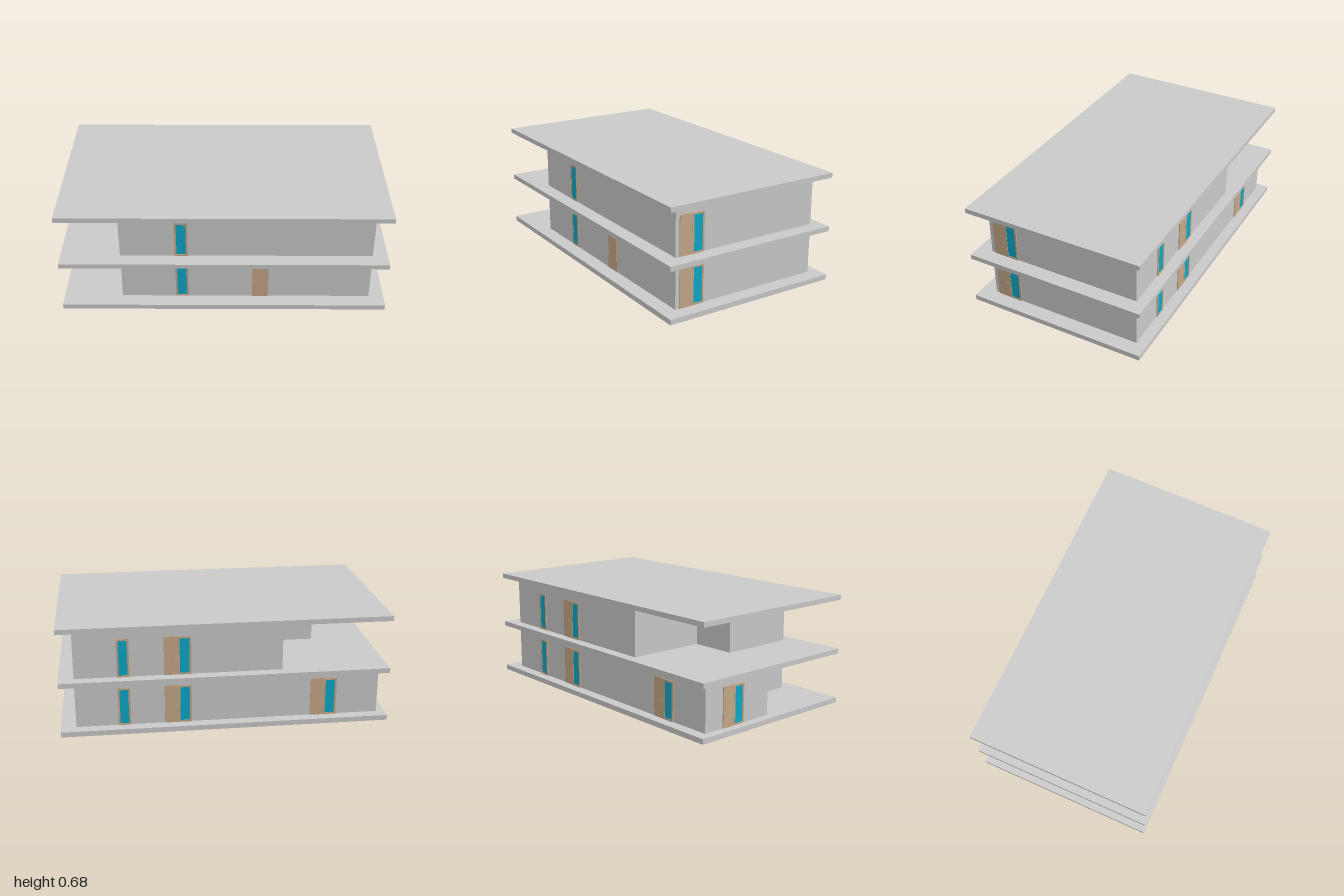
import * as THREE from 'three';

const concrete = new THREE.MeshStandardMaterial({ color: 0xc9c9c9 });
concrete.name = 'concrete grey';
const wood = new THREE.MeshStandardMaterial({ color: 0xc5a888 });
wood.name = 'light wood';
const glassBlue = new THREE.MeshStandardMaterial({ color: 0x0da8c8 });
glassBlue.name = 'blue glass';

const FRONT = 0.477, BACK = -0.503, RIGHT = -0.948, LEFT = 0.908, STEP = -0.005;

// Box centred on (x, y, z)
function box(parent, name, mat, size, pos) {
  const mesh = new THREE.Mesh(new THREE.BoxGeometry(...size), mat);
  mesh.name = name;
  mesh.position.set(...pos);
  parent.add(mesh);
  return mesh;
}

// Storey walls from a footprint of [x, z] corners
function walls(name, footprint, y0, y1) {
  const shape = new THREE.Shape(footprint.map(([x, z]) => new THREE.Vector2(x, -z)));
  const geo = new THREE.ExtrudeGeometry(shape, { depth: y1 - y0, bevelEnabled: false });
  geo.rotateX(-Math.PI / 2);
  const mesh = new THREE.Mesh(geo, concrete);
  mesh.name = name;
  mesh.position.y = y0;
  return mesh;
}

// Window: four frame bars around a set-back pane; local +z faces outwards
function makeWindow(w, h, out) {
  const g = new THREE.Group();
  g.name = 'window';
  const bar = 0.011;
  for (const s of [-1, 1]) {
    box(g, 'windowJamb', wood, [bar, h, out], [s * (w - bar) / 2, h / 2, out / 2]);
    box(g, 'windowRail', wood, [w - 2 * bar, bar, out], [0, h / 2 + s * (h - bar) / 2, out / 2]);
  }
  box(g, 'windowPane', glassBlue, [w - 2 * bar, h - 2 * bar, out * 0.5], [0, h / 2, out * 0.25]);
  return g;
}

// Door leaf with a small handle
function makeDoor(w, h, out, handleSide) {
  const g = new THREE.Group();
  g.name = 'door';
  box(g, 'doorLeaf', wood, [w, h, out], [0, h / 2, out / 2]);
  box(g, 'doorHandle', wood, [0.012, 0.005, 0.003], [handleSide * w * 0.36, h * 0.45, out + 0.0015]);
  return g;
}

// Tall window beside a door, sharing one edge at local x = 0
function makeDoorAndWindow() {
  const g = new THREE.Group();
  g.name = 'doorWithWindow';
  const door = makeDoor(0.083, 0.243, 0.005, 1);
  door.position.x = -0.0415;
  const win = makeWindow(0.08, 0.24, 0.006);
  win.position.x = 0.04;
  g.add(door, win);
  return g;
}

export function createModel() {
  const model = new THREE.Group();
  model.name = 'house';

  // Floor slabs and roof
  box(model, 'groundSlab', concrete, [2, 0.032, 1.14], [0, 0.016, 0]);
  box(model, 'middleSlab', concrete, [2, 0.03, 1.14], [0, 0.33, 0]);
  box(model, 'roofSlab', concrete, [2, 0.03, 1.14], [0, 0.665, 0]);

  // Ground floor reaches out at the back, upper floor steps in for a terrace
  const storey = (name, backX, y0, y1) => model.add(walls(name, [
    [-0.635, FRONT], [LEFT, FRONT], [LEFT, BACK], [backX, BACK], [backX, STEP], [-0.635, STEP],
  ], y0, y1));
  storey('groundFloorWalls', RIGHT, 0.032, 0.315);
  storey('upperFloorWalls', -0.346, 0.345, 0.65);

  const place = (part, x, y, z, turn) => {
    part.position.set(x, y, z);
    part.rotation.y = turn;
    model.add(part);
  };

  // Openings repeated on both storeys
  for (const y of [0.032, 0.345]) {
    place(makeWindow(0.08, 0.238, 0.003), -0.26, y, FRONT, 0);
    place(makeDoorAndWindow(), LEFT, y, 0.368, Math.PI / 2);
    place(makeWindow(0.075, 0.24, 0.006), 0.616, y, BACK, Math.PI);
    place(makeDoorAndWindow(), 0.289, y, BACK, Math.PI);
  }

  // Ground floor only
  place(makeDoor(0.1, 0.228, 0.003, -1), 0.225, 0.032, FRONT, 0);
  place(makeDoorAndWindow(), -0.607, 0.032, BACK, Math.PI);
  place(makeDoorAndWindow(), RIGHT, 0.032, -0.286, -Math.PI / 2);

  return model;
}
